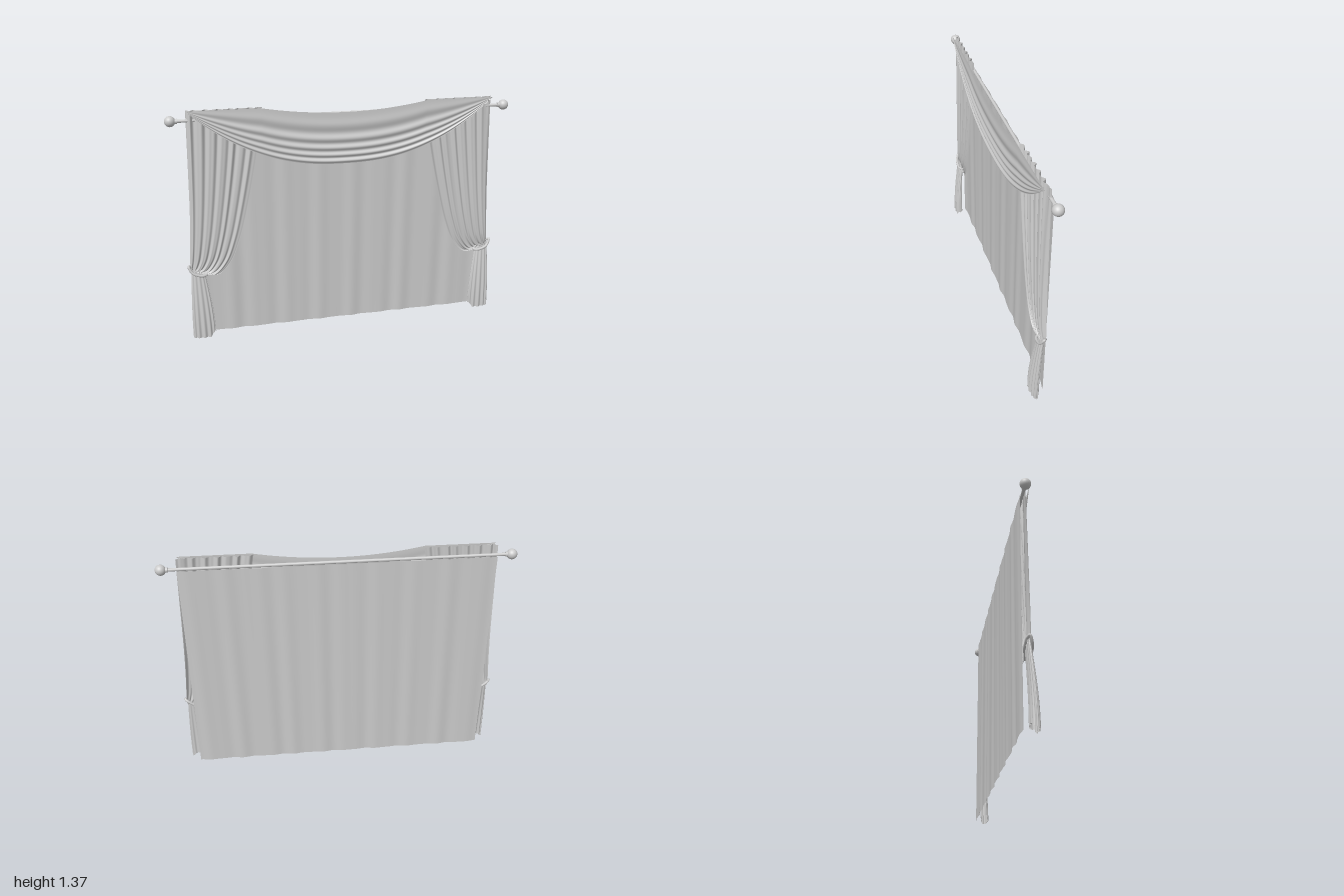
import * as THREE from 'three';

const grey = new THREE.MeshStandardMaterial({ color: 0xcccccc, side: THREE.DoubleSide });
const { lerp, smoothstep } = THREE.MathUtils;

// Cloth sheet: a grid of points given by rule(u, v) -> [x, y, z]
function sheet(name, nu, nv, rule) {
  const geo = new THREE.PlaneGeometry(1, 1, nu, nv);
  const pos = geo.attributes.position;
  for (let j = 0; j <= nv; j++) {
    for (let i = 0; i <= nu; i++) {
      pos.setXYZ(j * (nu + 1) + i, ...rule(i / nu, j / nv));
    }
  }
  geo.computeVertexNormals();
  return mesh(name, geo);
}

function mesh(name, geo) {
  const m = new THREE.Mesh(geo, grey);
  m.name = name;
  return m;
}

const spline = (pts, closed = false) =>
  new THREE.CatmullRomCurve3(pts.map(([x, y, z = 0]) => new THREE.Vector3(x, y, z)), closed);

// Irregular pleats between -1 and 1
const pleat = (t, n, phase = 0) =>
  0.7 * Math.sin(t * n * Math.PI * 2 + phase + 0.8 * Math.sin(t * 9)) +
  0.3 * Math.sin(t * n * Math.PI * 3.4 + phase * 2);

// Tied-back drape on one side (side = 1 or -1)
function drape(side) {
  const g = new THREE.Group();
  g.name = side > 0 ? 'leftDrape' : 'rightDrape';
  const outer = spline([[0.885, 1.365], [0.893, 1.1], [0.903, 0.8], [0.913, 0.62], [0.922, 0.5], [0.925, 0.45], [0.922, 0.42]]);
  const inner = spline([[0.47, 1.365], [0.51, 1.1], [0.575, 0.8], [0.63, 0.6], [0.69, 0.46], [0.765, 0.385], [0.845, 0.39]]);

  // Upper cloth, sweeping from the rod to the tie
  g.add(sheet('drapeUpper', 120, 60, (u, v) => {
    const a = outer.getPoint(v), b = inner.getPoint(v);
    const edge = smoothstep(u, 0, 0.06);
    const bulge = Math.sin(Math.PI * Math.min(1, v * 1.02)) * 0.014 * (1 - 0.4 * u);
    const amp = lerp(0.011, 0.005, Math.sin(Math.PI * v));
    const z = -0.009 + bulge + amp * pleat(u, 7, side + v * 0.6);
    return [side * lerp(a.x, b.x, u), lerp(a.y, b.y, u), lerp(-0.018, z, edge)];
  }));

  // Gathered tail, flaring below the tie
  g.add(sheet('drapeTail', 192, 24, (u, v) => {
    const a = u * Math.PI * 2, c = Math.cos(a), s = Math.sin(a);
    const fold = 1 + lerp(0.12, 0.24, v) * Math.sin(a * 13 + 0.8 * Math.sin(a * 2));
    const flare = Math.sin(v * Math.PI / 2);
    const x = lerp(0.881, 0.872, flare) + c * lerp(0.04, 0.066, flare) * (0.9 + 0.1 * fold);
    const z = lerp(-0.004, 0.022, flare) + s * lerp(0.012, 0.02, flare) * fold;
    const hem = 0.03 * smoothstep(-c, 0.5, 0.95) + 0.03 * smoothstep(-s, 0.4, 1);
    return [side * x, lerp(0.41 + 0.025 * c, hem, v), z];
  }));

  // Cord around the gather
  const cord = spline([
    [0.935, 0.452, -0.004], [0.917, 0.415, 0.01], [0.885, 0.397, 0.013], [0.85, 0.39, 0.009],
    [0.836, 0.392, -0.004], [0.855, 0.405, -0.016], [0.89, 0.42, -0.019], [0.922, 0.443, -0.015],
  ].map(([x, y, z]) => [side * x, y, z]), true);
  g.add(mesh('tieback', new THREE.TubeGeometry(cord, 64, 0.008, 8, true)));
  return g;
}

export function createModel() {
  const model = new THREE.Group();

  // Rod with ball ends
  const rod = mesh('rod', new THREE.CylinderGeometry(0.009, 0.009, 1.92, 16));
  rod.rotation.z = Math.PI / 2;
  rod.position.set(0, 1.308, -0.02);
  model.add(rod);
  for (const side of [-1, 1]) {
    const ball = mesh('finial', new THREE.SphereGeometry(0.03, 24, 16));
    ball.position.set(side * 0.97, 1.308, -0.02);
    const collar = mesh('finialCollar', new THREE.CylinderGeometry(0.014, 0.014, 0.012, 16));
    collar.rotation.z = Math.PI / 2;
    collar.position.set(side * 0.938, 1.308, -0.02);
    model.add(ball, collar, drape(side));
  }

  // Flat curtain behind, with soft waves
  model.add(sheet('backCurtain', 160, 16, (u, v) => [
    lerp(-0.885, 0.885, u), lerp(1.3, 0, v),
    -0.036 + lerp(0.003, 0.005, v) * pleat(u, 10, 0.5 + 0.5 * v),
  ]));

  // Swag across the top, its folds following the hanging curve
  model.add(sheet('swag', 96, 60, (u, v) => {
    const t = u * 2 - 1, x = 0.885 * t;
    const top = 1.365 - 0.045 * Math.max(0, 1 - (x / 0.48) ** 2);
    const bottom = 1.02 + 0.345 * Math.abs(t) ** 2.4;
    const drop = 1 - Math.abs(t) ** 3;
    const hem = 0.002 * smoothstep(v, 0.9, 0.92);
    const folds = 0.0045 * Math.sin(v * v * 30 + 1.5 * t * t) * smoothstep(v, 0, 0.25);
    return [x, lerp(top, bottom, v), 0.017 + drop * (folds + hem)];
  }));

  return model;
}
